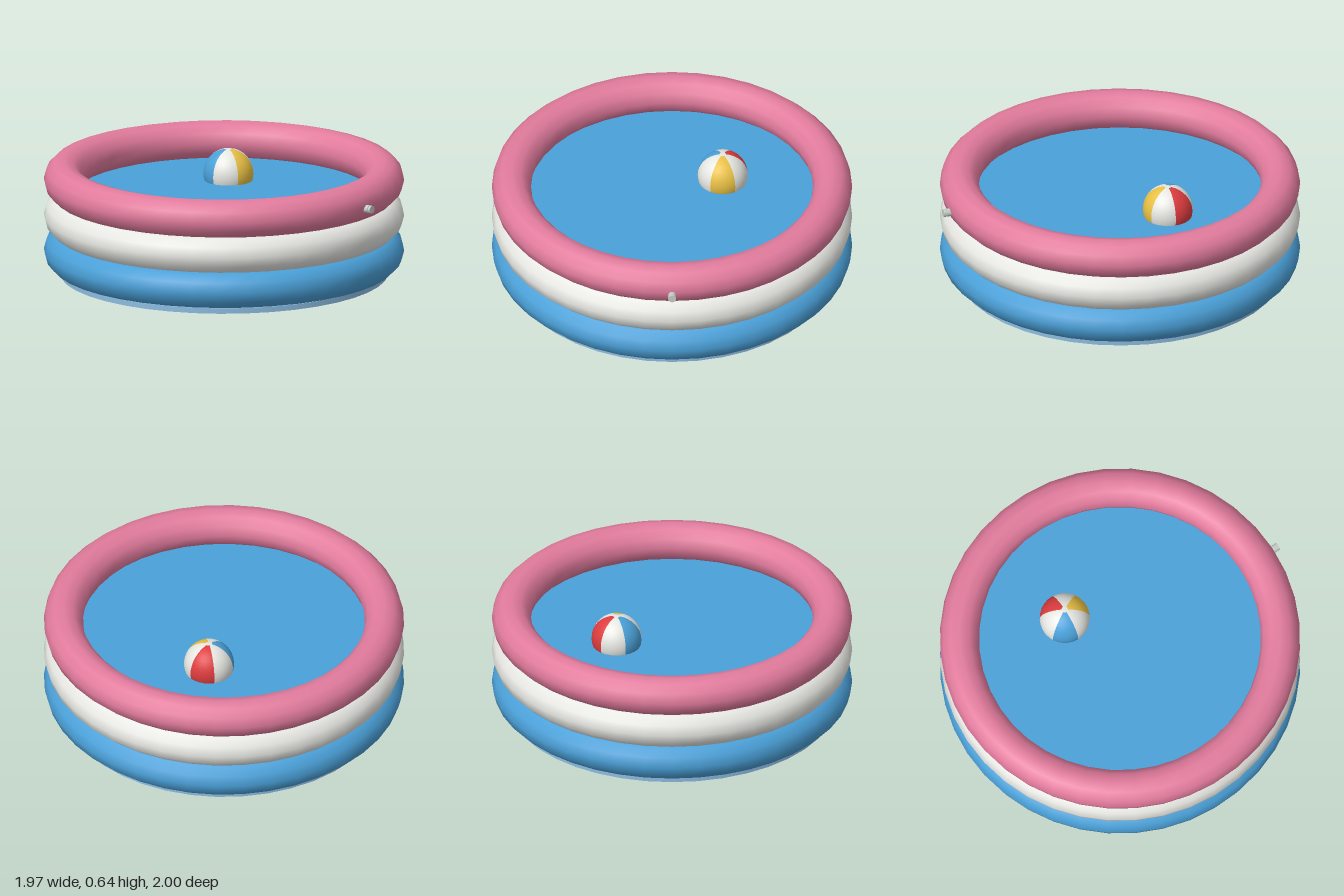
import * as THREE from 'three';

const mat = (name, color) => {
  const m = new THREE.MeshStandardMaterial({ color });
  m.name = name;
  return m;
};

export function createModel() {
  const pink = mat('pink', 0xe27b9d);
  const white = mat('white', 0xe6e6e2);
  const blue = mat('blue', 0x4aa0d8);
  const paleBlue = mat('pale blue', 0x8cbbe0);
  const red = mat('red', 0xdc3c3e);
  const yellow = mat('yellow', 0xe8c044);
  const grey = mat('valve grey', 0xc6cec8);

  const pool = new THREE.Group();
  pool.name = 'paddlingPool';
  const add = (parent, name, geometry, material, x = 0, y = 0, z = 0) => {
    const mesh = new THREE.Mesh(geometry, material);
    mesh.name = name;
    mesh.position.set(x, y, z);
    parent.add(mesh);
    return mesh;
  };
  const zc = -0.018; // ring centre, the valve sticks out in front

  // Three stacked inflated rings
  const ringGeometry = new THREE.TorusGeometry(0.876, 0.107, 12, 40).rotateX(Math.PI / 2);
  [['lowerRing', blue], ['middleRing', white], ['upperRing', pink]].forEach(([name, material], i) =>
    add(pool, name, ringGeometry, material, 0, 0.135 + i * 0.198, zc));

  // Floor sheet and water surface
  add(pool, 'floor', new THREE.CylinderGeometry(0.894, 0.894, 0.03, 40), paleBlue, 0, 0.015, zc);
  add(pool, 'water', new THREE.CylinderGeometry(0.85, 0.85, 0.02, 40), blue, 0, 0.432, zc);

  // Floating beach ball made of six gores and a small top and bottom cap
  const ball = new THREE.Group();
  ball.name = 'beachBall';
  ball.position.set(0.277, 0.48, -0.2);
  pool.add(ball);
  const r = 0.137, cap = 0.13, sector = Math.PI / 3;
  [white, yellow, white, red, white, blue].forEach((material, i) =>
    add(ball, 'ballPanel' + (i + 1),
      new THREE.SphereGeometry(r, 5, 16, i * sector, sector, cap, Math.PI - 2 * cap), material));
  for (const start of [0, Math.PI - cap])
    add(ball, 'ballCap', new THREE.SphereGeometry(r, 30, 2, 0, Math.PI * 2, start, cap), white);

  // Inflation valve: stem, neck and plug
  const valve = new THREE.Group();
  valve.name = 'valve';
  valve.position.set(0, 0.516, 0);
  pool.add(valve);
  [['valveStem', 0.022, 0.94, 0.983], ['valveNeck', 0.016, 0.98, 0.988], ['valvePlug', 0.022, 0.986, 1]]
    .forEach(([name, radius, z0, z1]) =>
      add(valve, name, new THREE.CylinderGeometry(radius, radius, z1 - z0, 12).rotateX(Math.PI / 2),
        grey, 0, 0, (z0 + z1) / 2));

  return pool;
}
